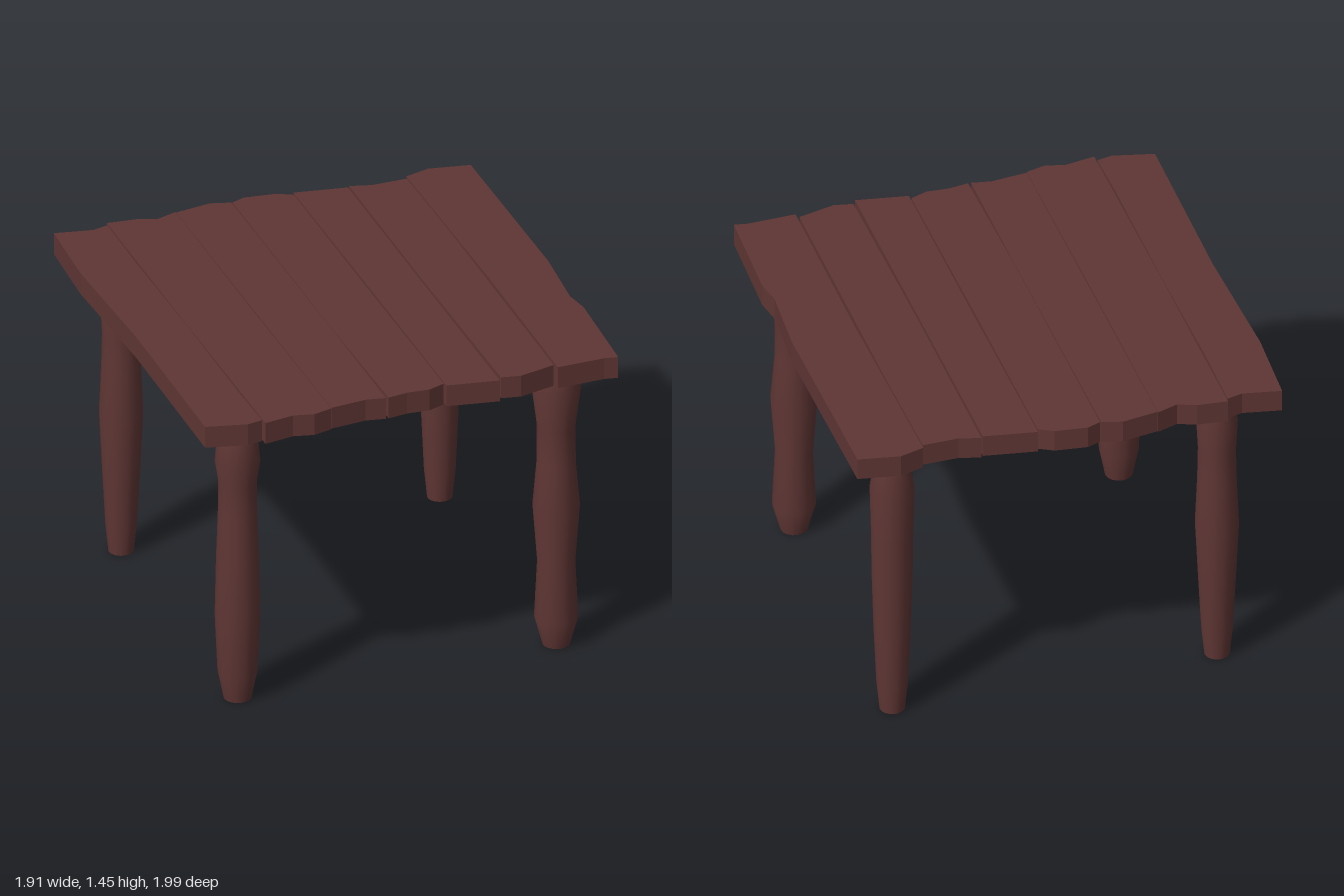
import * as THREE from 'three';

const wood = new THREE.MeshStandardMaterial({ color: 0x5f3634 });
const metal = new THREE.MeshStandardMaterial({ color: 0x6e7474 });

// Upright slab from an outline of [x, z] points
function slab(name, outline, bottom, height, material) {
  const shape = new THREE.Shape(outline.map(([x, z]) => new THREE.Vector2(x, -z)));
  const geometry = new THREE.ExtrudeGeometry(shape, { depth: height, bevelEnabled: false });
  geometry.rotateX(-Math.PI / 2);
  geometry.translate(0, bottom, 0);
  const mesh = new THREE.Mesh(geometry, material);
  mesh.name = name;
  return mesh;
}

// Hand-cut planks, outlines as [x, z]
const planks = [
  [[-0.94, -0.97], [-0.77, -0.94], [-0.7, -0.96], [-0.705, -0.6], [-0.7, 0], [-0.705, 0.7], [-0.7, 0.96],
    [-0.77, 0.975], [-0.95, 0.935], [-0.94, 0.05], [-0.96, -0.58]],
  [[-0.695, -0.98], [-0.56, -0.97], [-0.48, -0.94], [-0.385, -0.975], [-0.388, 0], [-0.385, 0.96],
    [-0.47, 0.985], [-0.56, 0.965], [-0.695, 0.99], [-0.698, 0]],
  [[-0.383, -0.97], [-0.22, -1], [-0.13, -0.975], [-0.13, 0.3], [-0.133, 0.95], [-0.22, 0.935], [-0.383, 0.955]],
  [[-0.125, -0.975], [-0.065, -1], [0.08, -0.985], [0.145, -0.95], [0.143, 0], [0.145, 0.91],
    [0.07, 0.94], [-0.03, 0.935], [-0.12, 0.95], [-0.128, 0.3]],
  [[0.15, -0.97], [0.385, -0.935], [0.382, 0], [0.38, 0.965], [0.15, 0.93], [0.152, 0]],
  [[0.395, -0.945], [0.49, -0.92], [0.65, -0.925], [0.654, -0.4], [0.645, 0.91], [0.48, 0.955], [0.395, 0.94], [0.39, 0]],
  [[0.655, -0.945], [0.765, -0.98], [0.95, -0.95], [0.955, 0], [0.93, 0.335], [0.95, 0.45], [0.93, 0.935],
    [0.87, 0.925], [0.655, 0.935], [0.663, 0.05]],
];

// Uneven legs: position and [radius, height] profile
const legs = [
  { name: 'frontLeftLeg', x: 0.73, z: 0.71, profile: [[0.06, 0], [0.095, 0.13], [0.082, 0.4], [0.102, 0.67],
    [0.084, 0.88], [0.083, 1.05], [0.108, 1.25], [0.07, 1.35]] },
  { name: 'frontRightLeg', x: -0.72, z: 0.71, profile: [[0.06, 0], [0.086, 0.13], [0.098, 0.4], [0.092, 0.67],
    [0.084, 0.9], [0.083, 1.04], [0.098, 1.14], [0.088, 1.25], [0.067, 1.35]] },
  { name: 'backLeftLeg', x: 0.73, z: -0.735, profile: [[0.055, 0], [0.068, 0.13], [0.08, 0.4], [0.088, 0.67],
    [0.091, 0.9], [0.097, 1.13], [0.08, 1.25], [0.067, 1.35]] },
  { name: 'backRightLeg', x: -0.72, z: -0.735, profile: [[0.055, 0], [0.068, 0.13], [0.082, 0.4], [0.095, 0.67],
    [0.085, 0.9], [0.082, 1.05], [0.09, 1.2], [0.065, 1.35]] },
];

function makeLeg({ name, x, z, profile }) {
  const leg = new THREE.Group();
  leg.name = name;
  leg.position.set(x, 0, z);
  const shaft = new THREE.Mesh(
    new THREE.LatheGeometry(profile.map(([r, y]) => new THREE.Vector2(r, y)), 16), wood);
  shaft.name = 'shaft';
  const foot = new THREE.Mesh(new THREE.CircleGeometry(profile[0][0], 16), wood);
  foot.name = 'footCap';
  foot.rotation.x = Math.PI / 2;
  leg.add(shaft, foot);
  return leg;
}

export function createModel() {
  const table = new THREE.Group();
  table.name = 'table';

  // Table top
  const top = new THREE.Group();
  top.name = 'tableTop';
  planks.forEach((outline, i) => top.add(slab(`plank${i + 1}`, outline, 1.35, 0.1, wood)));
  table.add(top);

  // Metal straps under the planks, with clipped ends
  for (const [name, z] of [['frontStrap', 0.525], ['backStrap', -0.55]]) {
    const half = [[0.85, -0.052], [0.885, -0.042], [0.905, -0.02], [0.905, 0.02], [0.885, 0.042], [0.85, 0.052]];
    const outline = [...half, ...half.map(([x, w]) => [-x, -w])];
    const strap = slab(name, outline, 1.333, 0.02, metal);
    strap.position.z = z;
    table.add(strap);
  }

  legs.forEach((leg) => table.add(makeLeg(leg)));
  return table;
}
